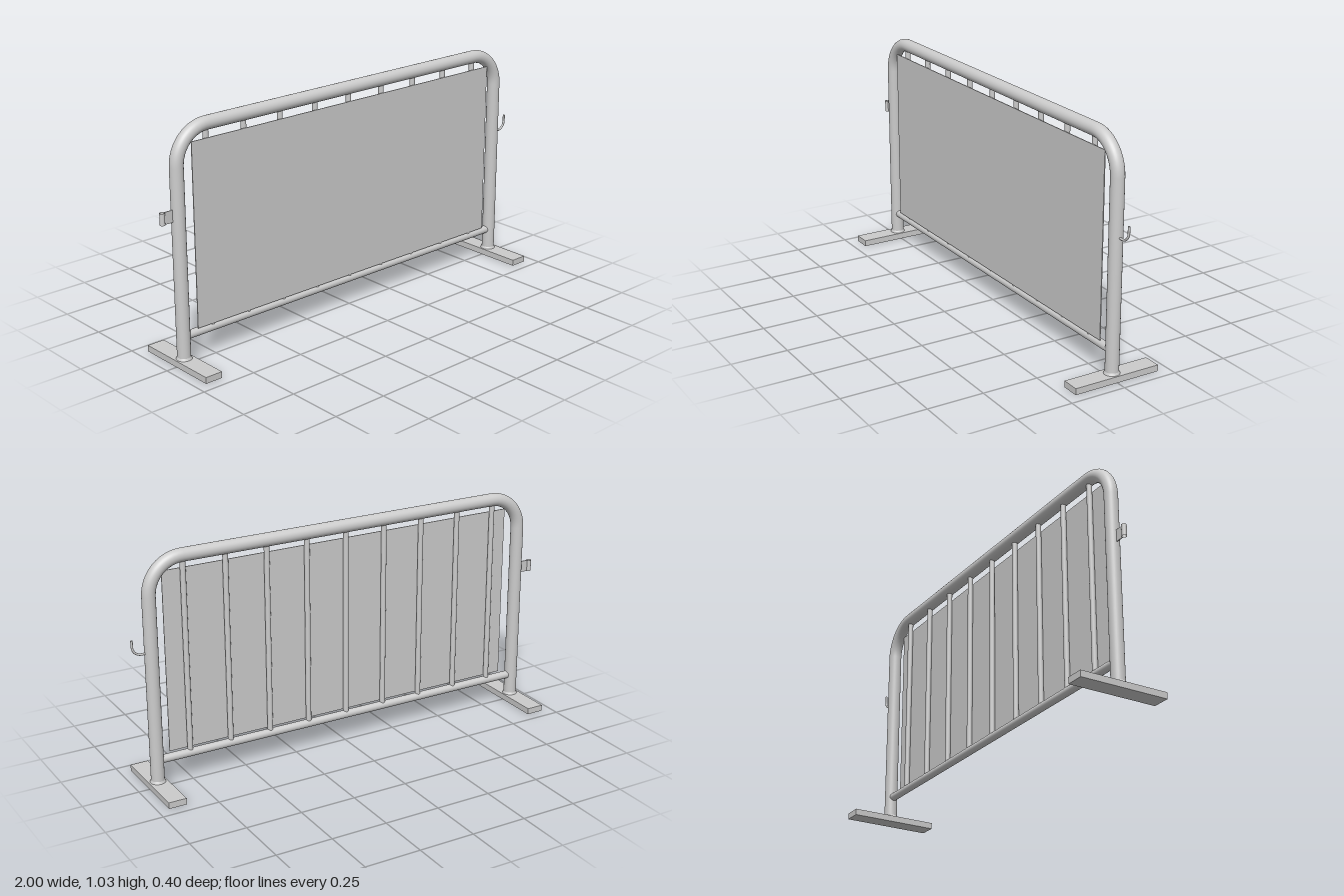
import * as THREE from 'three';

export function createModel() {
  const group = new THREE.Group();
  const grey = new THREE.MeshStandardMaterial({ color: 0xcccccc });
  const greyDouble = new THREE.MeshStandardMaterial({ color: 0xcccccc, side: THREE.DoubleSide });

  const add = (name, geometry, x = 0, y = 0, z = 0, material = grey) => {
    const mesh = new THREE.Mesh(geometry, material);
    mesh.name = name;
    mesh.position.set(x, y, z);
    group.add(mesh);
    return mesh;
  };

  const legX = 0.912, topY = 1.005, footH = 0.028, tubeR = 0.029, bend = 0.15;

  // Bent tube: arc of centre-line points around one corner
  const corner = (cx, cy, r, from, to, steps = 12) =>
    Array.from({ length: steps + 1 }, (_, i) => {
      const a = from + (to - from) * i / steps;
      return new THREE.Vector3(cx + r * Math.cos(a), cy + r * Math.sin(a), 0);
    });
  const polyline = (points) => {
    const path = new THREE.CurvePath();
    for (let i = 1; i < points.length; i++) path.add(new THREE.LineCurve3(points[i - 1], points[i]));
    return path;
  };
  // Sweep through the points exactly, one ring per point
  const sweep = (points, radius, sides) => {
    const path = polyline(points);
    const smooth = new THREE.CatmullRomCurve3(points, false, 'centripetal');
    const n = points.length - 1;
    path.getPointAt = (u) => points[Math.round(u * n)].clone();
    path.getTangentAt = (u) => smooth.getTangent(u);
    return new THREE.TubeGeometry(path, n, radius, sides, false);
  };

  // Main frame: two legs and the top rail in one bent tube
  add('frame', sweep([
    new THREE.Vector3(-legX, footH - 0.005, 0),
    ...corner(-legX + bend, topY - bend, bend, Math.PI, Math.PI / 2),
    ...corner(legX - bend, topY - bend, bend, Math.PI / 2, 0),
    new THREE.Vector3(legX, footH - 0.005, 0),
  ], tubeR, 32));

  // Feet with weld collars
  for (const side of [-1, 1]) {
    add('foot', new THREE.BoxGeometry(0.08, footH, 0.4), side * legX, footH / 2);
    add('weldCollar', new THREE.CylinderGeometry(tubeR, 0.034, 0.01, 32), side * legX, footH + 0.005);
  }

  // Bottom rail
  add('bottomRail', new THREE.CylinderGeometry(0.018, 0.018, 1.79, 24), 0, 0.126).rotation.z = Math.PI / 2;

  // Vertical bars
  for (let i = 0; i < 9; i++) {
    add('bar', new THREE.CylinderGeometry(0.012, 0.012, 0.87, 16), -0.766 + i * 0.1905, 0.56);
  }

  // Flat panel fixed to the front of the bars
  add('panel', new THREE.BoxGeometry(1.694, 0.8, 0.004), 0, 0.547, 0.014);

  // Hook on the left leg
  const hookPoints = [
    new THREE.Vector3(legX + 0.02, 0.613, 0),
    ...corner(0.955, 0.653, 0.04, -Math.PI / 2, 0, 8),
    new THREE.Vector3(0.995, 0.68, 0),
  ];
  add('hook', sweep(hookPoints, 0.005, 12));
  add('hookTip', new THREE.CircleGeometry(0.005, 12), 0.995, 0.68).rotation.x = -Math.PI / 2;

  // Eye on the right leg: open sleeve on a small plate
  add('eyeSleeve', new THREE.CylinderGeometry(0.011, 0.011, 0.052, 20, 1, true), -0.989, 0.656, 0, greyDouble);
  add('eyePlate', new THREE.BoxGeometry(0.05, 0.052, 0.004), -0.954, 0.656);

  return group;
}
